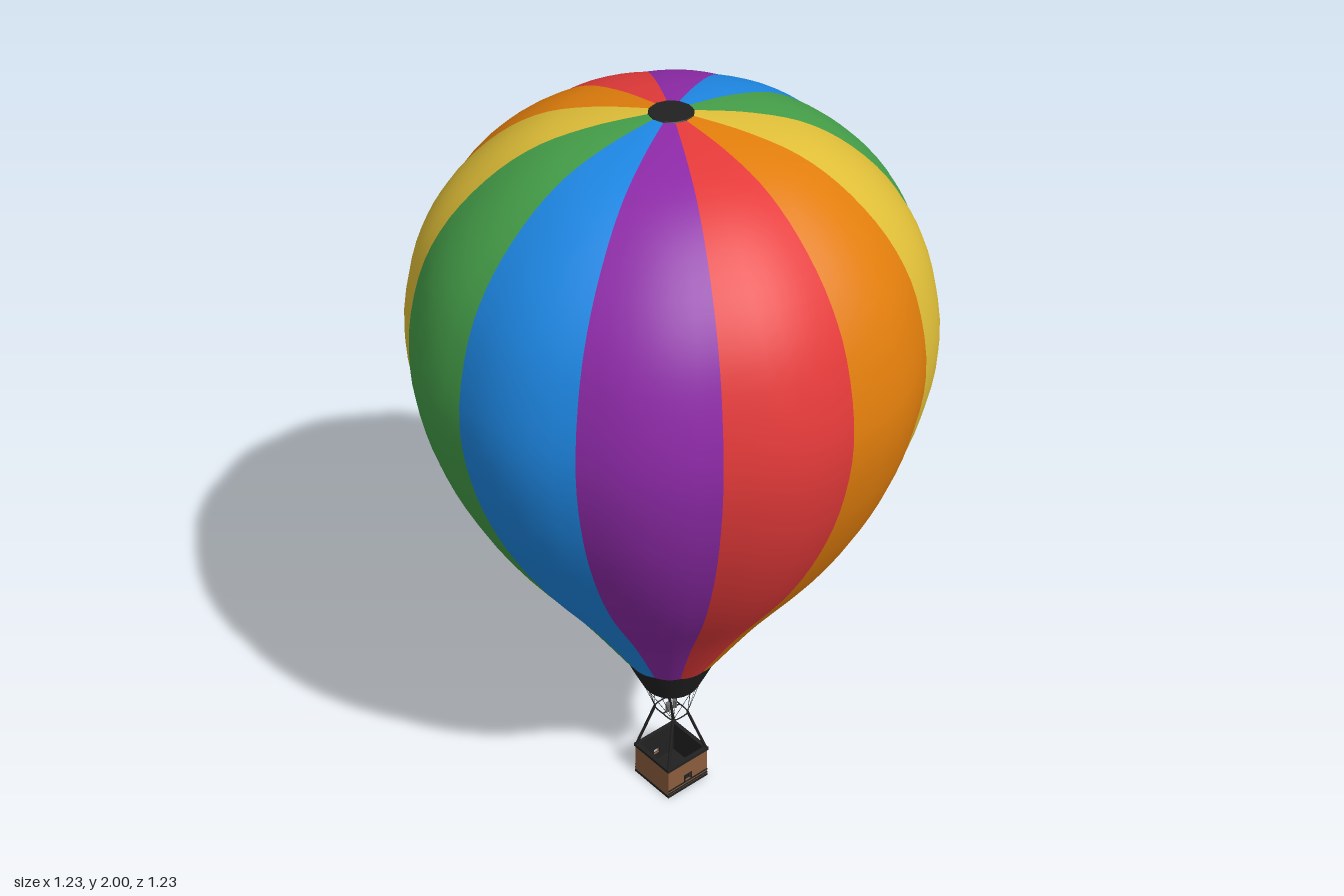
import * as THREE from 'three';

const mat = (name, color, side = THREE.FrontSide) => {
  const m = new THREE.MeshStandardMaterial({ color, side });
  m.name = name;
  return m;
};

export function createModel() {
  const model = new THREE.Group();
  model.name = 'hotAirBalloon';

  const gores = [
    mat('red', 0xe53a3a, THREE.DoubleSide), mat('purple', 0x8e2aa8, THREE.DoubleSide),
    mat('blue', 0x1e88e5, THREE.DoubleSide), mat('green', 0x459f49, THREE.DoubleSide),
    mat('yellow', 0xe0bf38, THREE.DoubleSide), mat('orange', 0xe27e0c, THREE.DoubleSide),
  ];
  const black = mat('black', 0x212121, THREE.DoubleSide);
  const wicker = mat('wicker brown', 0x8a5c3c);
  const metal = mat('burner grey', 0x6a6a6a);

  const add = (parent, name, geometry, material, x = 0, y = 0, z = 0) => {
    const mesh = new THREE.Mesh(geometry, material);
    mesh.name = name;
    mesh.position.set(x, y, z);
    parent.add(mesh);
    return mesh;
  };
  const group = (name) => {
    const g = new THREE.Group();
    g.name = name;
    model.add(g);
    return g;
  };
  // Straight round bar between two points
  const bar = (parent, name, a, b, radius, material, sides = 6) =>
    add(parent, name, new THREE.TubeGeometry(new THREE.LineCurve3(a, b), 1, radius, sides), material);
  const V = (x, y, z) => new THREE.Vector3(x, y, z);

  // Envelope profile, bottom to top, as radius and height
  const profile = new THREE.SplineCurve([
    [0.125, 0.45], [0.255, 0.654], [0.415, 0.882], [0.52, 1.078], [0.585, 1.264],
    [0.609, 1.45], [0.576, 1.635], [0.51, 1.767], [0.41, 1.873], [0.3, 1.943],
    [0.175, 1.98], [0.05, 1.998],
  ].map(([r, y]) => new THREE.Vector2(r, y))).getPoints(40);

  // One gore: a 30 degree strip that bulges slightly between its seams
  const goreGeometry = (start) => {
    const cols = 6, pos = [], index = [];
    profile.forEach((p, i) => {
      for (let j = 0; j <= cols; j++) {
        const t = j / cols, a = start + t * Math.PI / 6;
        const r = p.x * (1 + 0.019 * Math.sin(Math.PI * t));
        pos.push(r * Math.cos(a), p.y, r * Math.sin(a));
        if (i < profile.length - 1 && j < cols) {
          const k = i * (cols + 1) + j, up = k + cols + 1;
          index.push(k, up, k + 1, k + 1, up, up + 1);
        }
      }
    });
    const g = new THREE.BufferGeometry();
    g.setAttribute('position', new THREE.Float32BufferAttribute(pos, 3));
    g.setIndex(index);
    g.computeVertexNormals();
    return g;
  };
  const envelope = group('envelope');
  for (let k = 0; k < 12; k++) {
    add(envelope, 'gore', goreGeometry(k * Math.PI / 6), gores[k % 6]);
  }
  add(envelope, 'crownCap', new THREE.CylinderGeometry(0.05, 0.054, 0.004, 12), black, 0, 1.998, 0);
  add(envelope, 'skirt', new THREE.LatheGeometry(
    [[0.076, 0.34], [0.099, 0.39], [0.127, 0.454]].map(([r, y]) => new THREE.Vector2(r, y)), 24), black);

  // Burner frame with rounded outline, and two burners
  const burner = group('burner');
  const fx = 0.037, fz = 0.025, fy = 0.235;
  const loop = [];
  for (let k = 0; k < 8; k++) {
    const a = k * Math.PI / 4, s = k % 2 ? Math.SQRT2 : 1.15;
    loop.push(V(fx * s * Math.cos(a), fy, fz * s * Math.sin(a)));
  }
  add(burner, 'frame', new THREE.TubeGeometry(new THREE.CatmullRomCurve3(loop, true), 32, 0.0018, 6, true), black);
  bar(burner, 'crossBar', V(0, fy, -fz * 1.15), V(0, fy, fz * 1.15), 0.002, black);
  for (const z of [-0.012, 0.012]) {
    add(burner, 'burnerCan', new THREE.CylinderGeometry(0.0065, 0.0065, 0.026, 12), metal, 0, 0.248, z);
  }

  // Rigging lines fan from each frame corner to the skirt; posts go down to the basket
  const rigging = group('rigging');
  for (const sx of [-1, 1]) for (const sz of [-1, 1]) {
    const corner = V(sx * fx, fy, sz * fz);
    for (let k = 0; k < 4; k++) {
      const a = k * Math.PI / 6;
      bar(rigging, 'rope', corner, V(sx * 0.076 * Math.cos(a), 0.342, sz * 0.076 * Math.sin(a)), 0.0007, black, 4);
    }
    bar(rigging, 'post', corner, V(sx * 0.066, 0.1, sz * 0.066), 0.004, black, 8);
  }

  // Basket: open wicker box with a dark lining; side walls have a foothold
  const basket = group('basket');
  const wall = (size, depth, foothold) => {
    const h = size / 2, s = new THREE.Shape();
    s.moveTo(-h, 0.006).lineTo(h, 0.006).lineTo(h, 0.096).lineTo(-h, 0.096).closePath();
    if (foothold) {
      const hole = new THREE.Path();
      hole.moveTo(-0.01, 0.026).lineTo(-0.01, 0.046).lineTo(0.01, 0.046).lineTo(0.01, 0.026).closePath();
      s.holes.push(hole);
    }
    return new THREE.ExtrudeGeometry(s, { depth, bevelEnabled: false }).translate(0, 0, -depth / 2);
  };
  for (let k = 0; k < 4; k++) {
    const side = new THREE.Group();
    side.name = 'basketSide';
    side.rotation.y = k * Math.PI / 2;
    basket.add(side);
    const foothold = k % 2 === 1;
    add(side, 'wall', wall(0.136, 0.005, foothold), wicker, 0, 0, 0.0655);
    add(side, 'lining', wall(0.126, 0.003, foothold), black, 0, 0, 0.0615);
    add(side, 'rim', new THREE.BoxGeometry(0.142, 0.009, 0.011), black, 0, 0.0985, 0.0655);
    if (foothold) {
      for (const y of [0.014, 0.024]) {
        add(side, 'strap', new THREE.BoxGeometry(0.136, 0.004, 0.002), black, 0, y, 0.0688);
      }
      for (const x of [-0.0115, 0.0115]) {
        add(side, 'footholdTrim', new THREE.BoxGeometry(0.003, 0.023, 0.002), black, x, 0.0365, 0.0688);
      }
      add(side, 'footholdTrim', new THREE.BoxGeometry(0.026, 0.003, 0.002), black, 0, 0.0475, 0.0688);
    }
  }
  add(basket, 'floor', new THREE.BoxGeometry(0.138, 0.008, 0.138), black, 0, 0.004, 0);

  return model;
}
